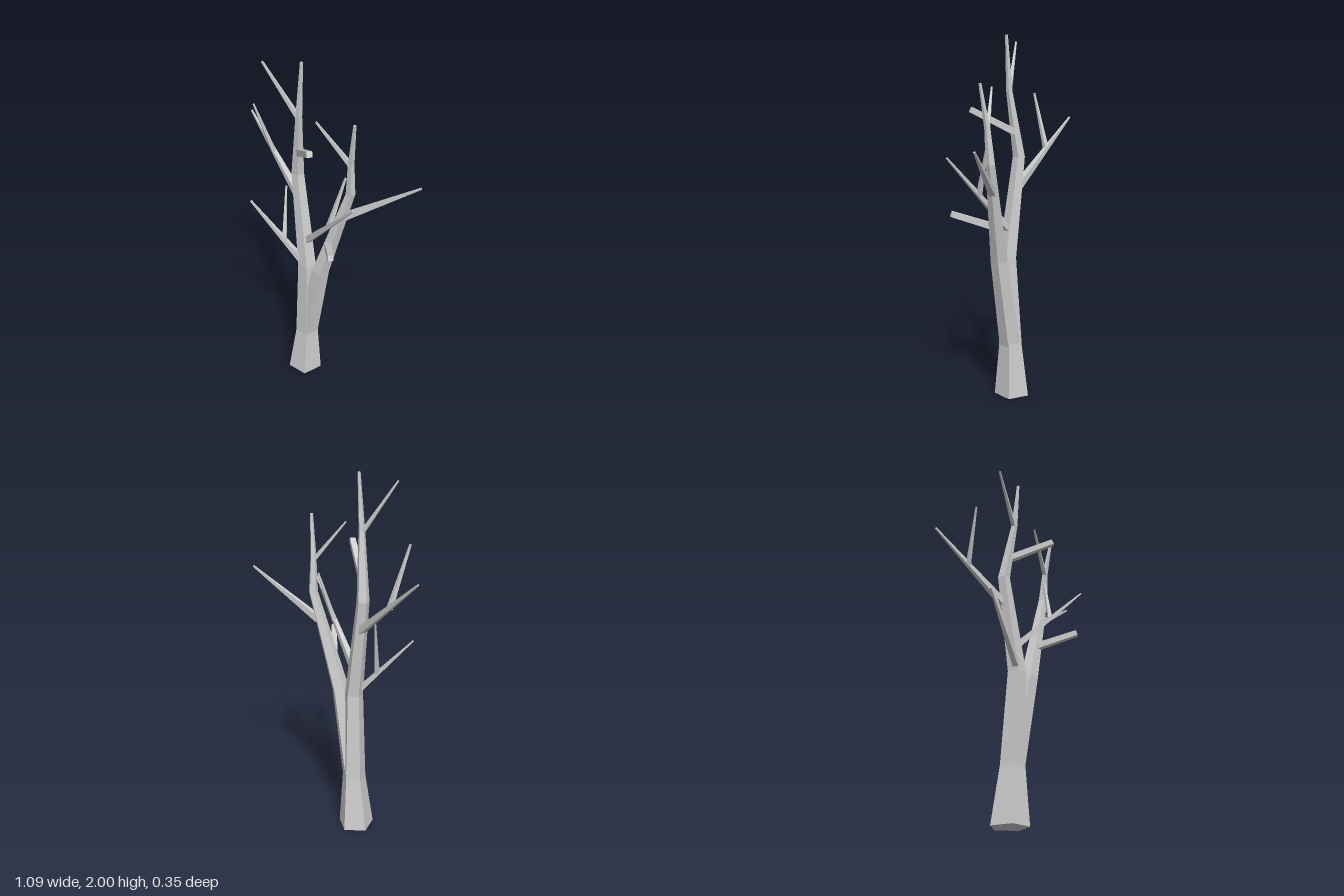
import * as THREE from 'three';

const bark = new THREE.MeshStandardMaterial({ color: 0xcccccc, flatShading: true });
bark.name = 'greyBark';

// Faceted limb through stations [x, y, z, radius]; level keeps the rings horizontal.
function limb(name, stations, sides, level) {
  const pts = stations.map(s => new THREE.Vector3(s[0], s[1], s[2]));
  const up = new THREE.Vector3(0, 1, 0);
  const rings = pts.map((p, i) => {
    const dir = pts[Math.min(i + 1, pts.length - 1)].clone().sub(pts[Math.max(i - 1, 0)]).normalize();
    const u = level ? new THREE.Vector3(1, 0, 0) : new THREE.Vector3().crossVectors(up, dir).normalize();
    const v = level ? new THREE.Vector3(0, 0, -1) : new THREE.Vector3().crossVectors(dir, u);
    const ring = [];
    for (let k = 0; k < sides; k++) {
      // a corner at the back for level rings, a flat top for the others
      const a = level ? Math.PI / 2 + k * 2 * Math.PI / sides : (k + 0.5) * 2 * Math.PI / sides;
      ring.push(p.clone().addScaledVector(u, Math.cos(a) * stations[i][3]).addScaledVector(v, Math.sin(a) * stations[i][3]));
    }
    return ring;
  });
  const pos = [];
  const tri = (a, b, c) => pos.push(...a.toArray(), ...b.toArray(), ...c.toArray());
  const last = rings.length - 1;
  for (let k = 0; k < sides; k++) {
    const n = (k + 1) % sides;
    for (let i = 0; i < last; i++) {
      tri(rings[i][k], rings[i][n], rings[i + 1][n]);
      tri(rings[i][k], rings[i + 1][n], rings[i + 1][k]);
    }
    tri(pts[0], rings[0][n], rings[0][k]);
    tri(pts[last], rings[last][k], rings[last][n]);
  }
  const geo = new THREE.BufferGeometry();
  geo.setAttribute('position', new THREE.Float32BufferAttribute(pos, 3));
  geo.computeVertexNormals();
  const mesh = new THREE.Mesh(geo, bark);
  mesh.name = name;
  return mesh;
}

export function createModel() {
  const tree = new THREE.Group();
  tree.name = 'bareTree';

  // Main trunk and the second stem that forks from its foot
  tree.add(limb('trunk', [
    [-0.082, 0, -0.033, 0.102], [-0.066, 0.3, -0.033, 0.068], [-0.052, 0.81, -0.018, 0.052],
    [-0.132, 1.36, -0.043, 0.035], [-0.09, 1.71, -0.005, 0.018], [-0.066, 2, 0, 0.008]], 5, true));
  tree.add(limb('forkStem', [
    [-0.068, 0.27, -0.033, 0.064], [0.042, 0.81, -0.02, 0.05],
    [0.2, 1.35, -0.058, 0.026], [0.207, 1.53, -0.045, 0.017], [0.238, 1.76, -0.02, 0.008]], 5, true));

  // Tapering branches: name, start, end, start radius
  const branches = [
    ['upperRightBranch', [-0.12, 1.2, -0.045], [-0.545, 1.55, -0.15], 0.027],
    ['upperRightTwig', [-0.345, 1.38, -0.1], [-0.388, 1.69, 0], 0.017],
    ['crownTwig', [-0.09, 1.7, -0.005], [-0.268, 1.97, 0.053], 0.016],
    ['upperLeftBranch', [0.17, 1.2, -0.05], [0.54, 1.456, -0.17], 0.025],
    ['middleBranch', [-0.05, 0.97, -0.02], [0.34, 1.39, 0.115], 0.025],
    ['middleTwig', [0.145, 1.18, 0.045], [0.187, 1.45, -0.03], 0.017],
    ['forkTwig', [0.207, 1.52, -0.045], [0.042, 1.735, 0.027], 0.016],
    ['lowerRightBranch', [-0.06, 0.82, 0], [-0.355, 1.16, 0.095], 0.024],
    ['lowerRightTwig', [-0.17, 0.95, 0.035], [-0.208, 1.25, -0.035], 0.016],
  ];
  for (const [name, a, b, r] of branches) tree.add(limb(name, [[...a, r], [...b, 0.006]], 4, false));

  // Blunt sawn-off stubs
  tree.add(limb('upperStub', [[-0.11, 1.49, -0.03, 0.025], [0.085, 1.617, 0.13, 0.021]], 4, false));
  tree.add(limb('lowerStub', [[0.1, 1.01, -0.005, 0.025], [0.243, 1.085, 0.157, 0.021]], 4, false));
  return tree;
}
